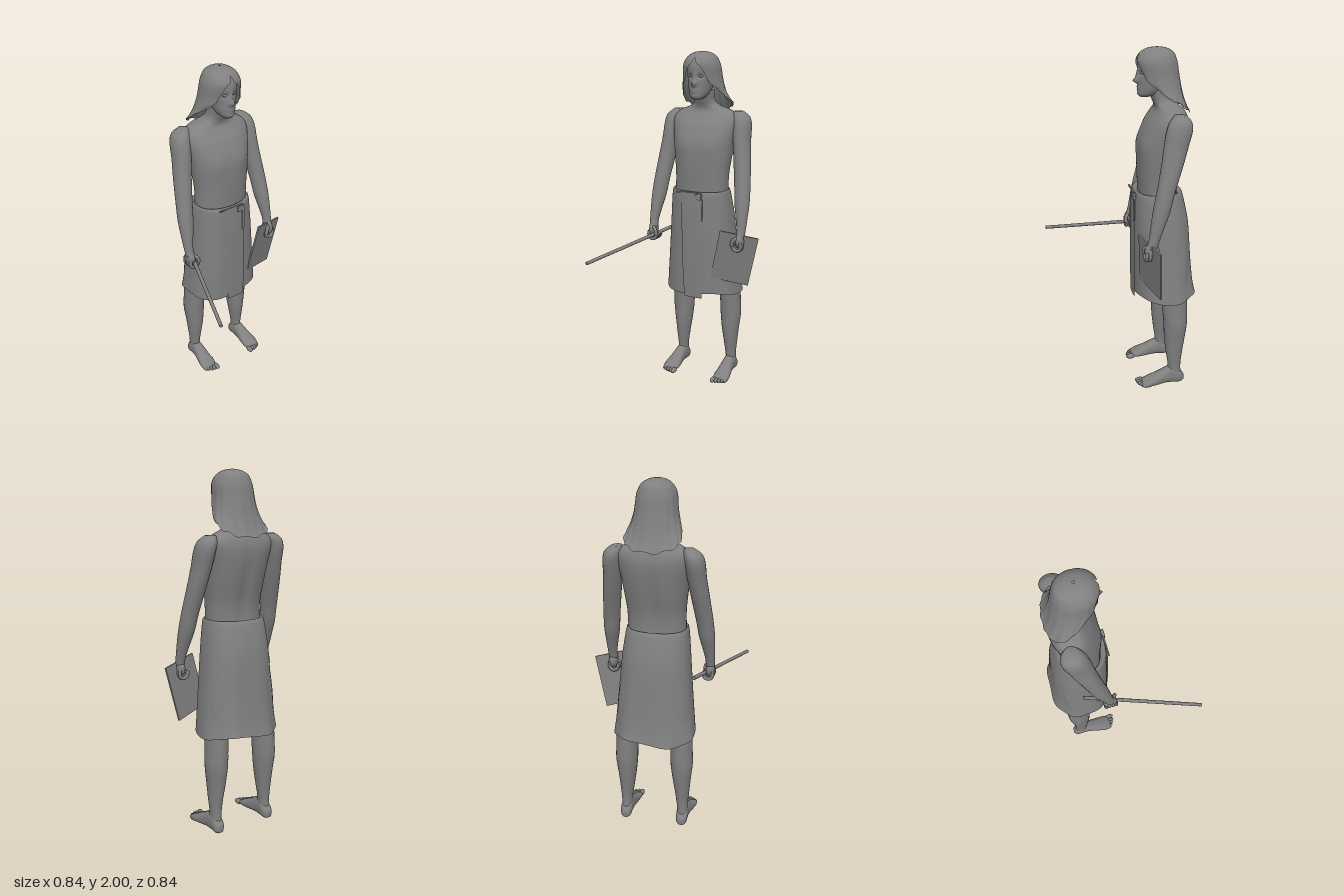
import * as THREE from 'three';

const MID = 0.0235; // the body's own centre line
const grey = new THREE.MeshStandardMaterial({ color: 0x808080, side: THREE.DoubleSide });
grey.name = 'plain grey';

const bump = (x, y, sx, sy) => Math.exp(-((x / sx) ** 2) - (y / sy) ** 2);
const spline = (a, b, c, d, t) =>
  0.5 * (2 * b + (c - a) * t + (2 * a - 5 * b + 4 * c - d) * t * t + (3 * b - a - 3 * c + d) * t ** 3);

function add(group, name, geometry) {
  const mesh = new THREE.Mesh(geometry, grey);
  mesh.name = name;
  group.add(mesh);
  return mesh;
}

// Smooth loft through rings [level, centreX, halfWidth, front, back].
// axis 'y': level is a height, front/back are z. axis 'z': level is a z, front/back are top/bottom.
// arc(k) gives the angles an open loft spans (0 = front); warp(p, angle, k) reshapes points.
function loft(rings, { n = 32, sub = 4, pow = 2, axis = 'y', arc, cap = true, warp } = {}) {
  const pos = [], index = [], last = rings.length - 1, rows = last * sub + 1;
  const cols = arc ? n + 1 : n;
  const round = (v) => Math.sign(v) * Math.abs(v) ** (2 / pow);
  const p = new THREE.Vector3();
  const put = (x, s, level) => (axis === 'y' ? p.set(x, level, s) : p.set(x, s, level));
  for (let r = 0; r < rows; r++) {
    const i = Math.min(Math.floor(r / sub), last - 1), t = r / sub - i, k = r / (rows - 1);
    const at = (j) => rings[Math.max(0, Math.min(last, j))];
    const [level, cx, rx, f, b] = rings[0].map((_, q) =>
      spline(at(i - 1)[q], at(i)[q], at(i + 1)[q], at(i + 2)[q], t));
    const [a0, a1] = arc ? arc(k) : [0, Math.PI * 2];
    for (let c = 0; c < cols; c++) {
      const th = a0 + (a1 - a0) * c / n;
      put(cx + rx * round(Math.sin(th)), (f + b) / 2 + (f - b) / 2 * round(Math.cos(th)), level);
      if (warp) warp(p, th, k);
      pos.push(p.x, p.y, p.z);
    }
  }
  const flip = (rings[0][0] > rings[last][0]) !== (axis === 'z');
  const tri = (a, b, c) => (flip ? index.push(a, c, b) : index.push(a, b, c));
  for (let r = 0; r < rows - 1; r++) for (let c = 0; c < n; c++) {
    const a = r * cols + c, b = r * cols + (c + 1) % cols;
    tri(a, b, b + cols);
    tri(a, b + cols, a + cols);
  }
  if (cap && !arc) for (const [row, ring] of [[0, rings[0]], [rows - 1, rings[last]]]) {
    const m = pos.length / 3;
    put(ring[1], (ring[3] + ring[4]) / 2, ring[0]);
    pos.push(p.x, p.y, p.z);
    for (let c = 0; c < n; c++) {
      const a = row * cols + c, b = row * cols + (c + 1) % n;
      if (row) tri(a, b, m); else tri(b, a, m);
    }
  }
  const g = new THREE.BufferGeometry();
  g.setAttribute('position', new THREE.Float32BufferAttribute(pos, 3));
  g.setIndex(index);
  g.computeVertexNormals();
  return g;
}

function ellipsoid(group, name, x, y, z, rx, ry, rz) {
  return add(group, name, new THREE.SphereGeometry(1, 16, 12).scale(rx, ry, rz).translate(x, y, z));
}

function rod(group, name, points, radius) {
  const pts = points.map((q) => new THREE.Vector3(...q));
  add(group, name, new THREE.TubeGeometry(new THREE.CatmullRomCurve3(pts), 14, radius, 8));
  const e = pts[pts.length - 1];
  ellipsoid(group, name + 'Tip', e.x, e.y, e.z, radius, radius, radius);
}

function addLimbs(group, s, side) {
  const place = (rings) => rings.map(([l, d, ...rest]) => [l, MID + s * d, ...rest]);
  const X = (d) => MID + s * d;

  // Leg
  add(group, side + 'Leg', loft(place([
    [0.05, 0.171, 0.031, -0.24, -0.322], [0.12, 0.169, 0.032, -0.24, -0.318],
    [0.2, 0.167, 0.041, -0.228, -0.325], [0.3, 0.164, 0.053, -0.215, -0.339],
    [0.4, 0.164, 0.064, -0.21, -0.35], [0.5, 0.161, 0.063, -0.2, -0.35],
    [0.6, 0.155, 0.066, -0.19, -0.348], [0.8, 0.13, 0.078, -0.15, -0.355],
    [1.0, 0.095, 0.085, -0.12, -0.35]]), { n: 24 }));

  // Foot and toes
  add(group, side + 'Foot', loft(place([
    [-0.075, 0.175, 0.042, 0.026, 0.004], [-0.12, 0.175, 0.05, 0.05, 0], [-0.17, 0.173, 0.044, 0.073, 0],
    [-0.22, 0.171, 0.037, 0.1, 0.004], [-0.27, 0.17, 0.034, 0.115, 0.002], [-0.315, 0.17, 0.032, 0.08, 0],
    [-0.338, 0.17, 0.016, 0.05, 0.012]]), { n: 24, axis: 'z', pow: 2.4 }));
  for (let i = 0; i < 5; i++)
    ellipsoid(group, side + 'Toe', X([0.137, 0.159, 0.178, 0.196, 0.212][i]), 0.016, -0.072 - 0.002 * i * i,
      i ? 0.0105 : 0.015, i ? 0.014 : 0.016, 0.03);

  // Arm
  add(group, side + 'Arm', loft(place([
    [0.95, 0.286, 0.025, -0.068, -0.13], [1.0, 0.287, 0.027, -0.082, -0.144],
    [1.07, 0.281, 0.035, -0.092, -0.17], [1.15, 0.273, 0.044, -0.105, -0.2],
    [1.25, 0.263, 0.047, -0.126, -0.226], [1.4, 0.243, 0.05, -0.155, -0.275],
    [1.5, 0.229, 0.051, -0.17, -0.305], [1.58, 0.222, 0.053, -0.185, -0.327],
    [1.63, 0.211, 0.05, -0.205, -0.325], [1.662, 0.193, 0.028, -0.235, -0.3]]), { n: 24 }));

  // Hand closed into a loose fist
  ellipsoid(group, side + 'Palm', X(0.287), 0.932, -0.1, 0.026, 0.047, 0.042);
  for (let i = 0; i < 4; i++) {
    const z = -0.068 - 0.02 * i;
    rod(group, side + 'Finger', [[X(0.3), 0.93, z], [X(0.304), 0.9, z], [X(0.288), 0.88, z],
      [X(0.262), 0.885, z], [X(0.252), 0.908, z]], 0.0105);
  }
  rod(group, side + 'Thumb', [[X(0.28), 0.955, -0.082], [X(0.258), 0.94, -0.064], [X(0.25), 0.915, -0.062]], 0.011);
}

export function createModel() {
  const model = new THREE.Group();
  model.name = 'standingFigure';

  // Torso with neck, chest muscles and spine groove
  add(model, 'torso', loft([
    [1.1, 0.02, 0.16, -0.085, -0.31], [1.2, 0.021, 0.162, -0.085, -0.298], [1.3, 0.023, 0.163, -0.08, -0.305],
    [1.4, MID, 0.174, -0.078, -0.327], [1.5, MID, 0.187, -0.09, -0.345], [1.58, MID, 0.2, -0.118, -0.352],
    [1.63, MID, 0.198, -0.15, -0.345], [1.665, MID, 0.155, -0.17, -0.33], [1.69, MID, 0.088, -0.168, -0.305],
    [1.72, MID, 0.06, -0.155, -0.28], [1.78, MID, 0.056, -0.13, -0.27]], {
    n: 48, pow: 2.3,
    warp(p) {
      const x = p.x - MID;
      if (p.z > -0.2) p.z += 0.01 * (bump(x - 0.08, p.y - 1.47, 0.06, 0.06) + bump(x + 0.08, p.y - 1.47, 0.06, 0.06));
      else p.z += 0.016 * bump(x, p.y - 1.38, 0.03, 0.2);
    },
  }));
  addLimbs(model, -1, 'right');
  addLimbs(model, 1, 'left');

  // Head with sculpted face
  add(model, 'head', loft([
    [1.735, 0.022, 0.026, -0.088, -0.14], [1.75, 0.022, 0.043, -0.077, -0.19], [1.78, 0.022, 0.058, -0.077, -0.23],
    [1.83, 0.022, 0.068, -0.077, -0.26], [1.88, 0.022, 0.074, -0.076, -0.275], [1.93, 0.022, 0.072, -0.08, -0.27],
    [1.965, 0.022, 0.055, -0.11, -0.25], [1.985, 0.022, 0.022, -0.15, -0.21]], {
    n: 64, sub: 6, pow: 2.2,
    warp(p) {
      if (p.z < -0.15) return;
      const x = p.x - 0.022, y = p.y;
      p.z += 0.026 * bump(x, y - 1.822, 0.014, 0.014) + 0.012 * bump(x, y - 1.85, 0.01, 0.03)
        - 0.014 * bump(Math.abs(x) - 0.03, y - 1.865, 0.016, 0.012) + 0.007 * bump(x, y - 1.788, 0.022, 0.007)
        + 0.006 * bump(x, y - 1.774, 0.018, 0.006) + 0.004 * bump(x, y - 1.75, 0.02, 0.012);
    },
  }));
  for (const s of [-1, 1]) ellipsoid(model, 'eye', 0.022 + s * 0.03, 1.865, -0.096, 0.013, 0.008, 0.011);

  // Long hair, parted in the middle and open around the face
  const openness = [1, 1, 1, 0.97, 0.88, 0.81, 0.75, 0.69, 0.63, 0.57];
  add(model, 'hair', loft([
    [2.0, 0.022, 0.006, -0.175, -0.187], [1.992, 0.022, 0.046, -0.125, -0.235], [1.97, 0.022, 0.08, -0.088, -0.272],
    [1.94, 0.022, 0.098, -0.068, -0.286], [1.91, 0.022, 0.107, -0.066, -0.294], [1.86, 0.022, 0.112, -0.076, -0.302],
    [1.8, 0.022, 0.121, -0.088, -0.313], [1.745, 0.022, 0.132, -0.115, -0.325], [1.69, 0.022, 0.146, -0.15, -0.343],
    [1.65, 0.022, 0.152, -0.19, -0.362]], {
    n: 72, pow: 2.15,
    arc(k) {
      const f = k * 9, i = Math.min(8, Math.floor(f));
      const half = Math.PI * (openness[i] + (openness[i + 1] - openness[i]) * (f - i));
      return [Math.PI - half, Math.PI + half];
    },
    warp(p, th, k) {
      const g = 1 + 0.014 * k * Math.cos(th * 15);
      p.x = 0.022 + (p.x - 0.022) * g;
      p.z = -0.2 + (p.z + 0.2) * g;
      p.y += 0.06 * Math.max(0, k - 0.6) * (1 + Math.cos(th)) / 0.4 + 0.006 * k ** 6 * Math.sin(th * 9);
    },
  }));

  // Wrapped skirt with soft folds toward the hem
  const skirt = [
    [1.192, 0.02, 0.155, -0.085, -0.3], [1.2, 0.018, 0.17, -0.055, -0.328], [1.1, 0.02, 0.184, -0.051, -0.355],
    [1.0, 0.022, 0.194, -0.051, -0.373], [0.8, 0.024, 0.211, -0.053, -0.388], [0.65, 0.025, 0.225, -0.056, -0.403],
    [0.57, 0.026, 0.234, -0.058, -0.418]];
  const fold = (p, th, k) => {
    const back = (1 - Math.cos(th)) / 2;
    const g = 1 + 0.03 * k * k * back * Math.cos(th * 7 + 0.6);
    p.x = 0.024 + (p.x - 0.024) * g;
    p.z = -0.22 + (p.z + 0.22) * g;
    p.y += 0.012 * k ** 6 * Math.sin(th * 3);
  };
  add(model, 'skirt', loft(skirt, { n: 72, pow: 2.4, cap: false, warp: fold }));

  // Overlapping front panel of the skirt
  const panel = skirt.slice(1).map(([y, cx, rx, f, b], i) => [y - 0.004 * i, cx, rx, f + 0.008, b]);
  add(model, 'frontPanel', loft(panel, { n: 16, pow: 2.4, arc: (k) => [-0.36 + 0.2 * k, 0.34 - 0.14 * k] }));

  // Buckle and hanging strap
  const box = (name, w, h, d, x, y, z) => add(model, name, new THREE.BoxGeometry(w, h, d).translate(x, y, z));
  box('waistband', 0.16, 0.008, 0.008, 0.0, 1.198, -0.05);
  box('buckle', 0.045, 0.034, 0.018, 0.062, 1.18, -0.048);
  box('strap', 0.014, 0.13, 0.008, 0.082, 1.1, -0.048).rotation.z = 0;

  // Long thin stick in the right hand
  const tip = new THREE.Vector3(-0.41, 0.842, 0.422), butt = new THREE.Vector3(-0.195, 0.928, -0.24);
  const stick = add(model, 'stick', new THREE.CylinderGeometry(0.01, 0.011, tip.distanceTo(butt), 12));
  stick.position.copy(tip).add(butt).multiplyScalar(0.5);
  stick.quaternion.setFromUnitVectors(new THREE.Vector3(0, 1, 0), tip.clone().sub(butt).normalize());

  // Flat board in the left hand
  const a = new THREE.Vector3(0.135, 0.69, -0.075), b = new THREE.Vector3(0.348, 0.648, -0.148);
  const c = new THREE.Vector3(0.415, 0.952, -0.125);
  const across = b.clone().sub(a), up = c.clone().sub(b);
  const board = add(model, 'board', new THREE.BoxGeometry(across.length(), up.length(), 0.01));
  const ex = across.clone().normalize(), ez = ex.clone().cross(up).normalize();
  board.quaternion.setFromRotationMatrix(new THREE.Matrix4().makeBasis(ex, ez.clone().cross(ex), ez));
  board.position.copy(a).add(c).multiplyScalar(0.5);

  return model;
}
